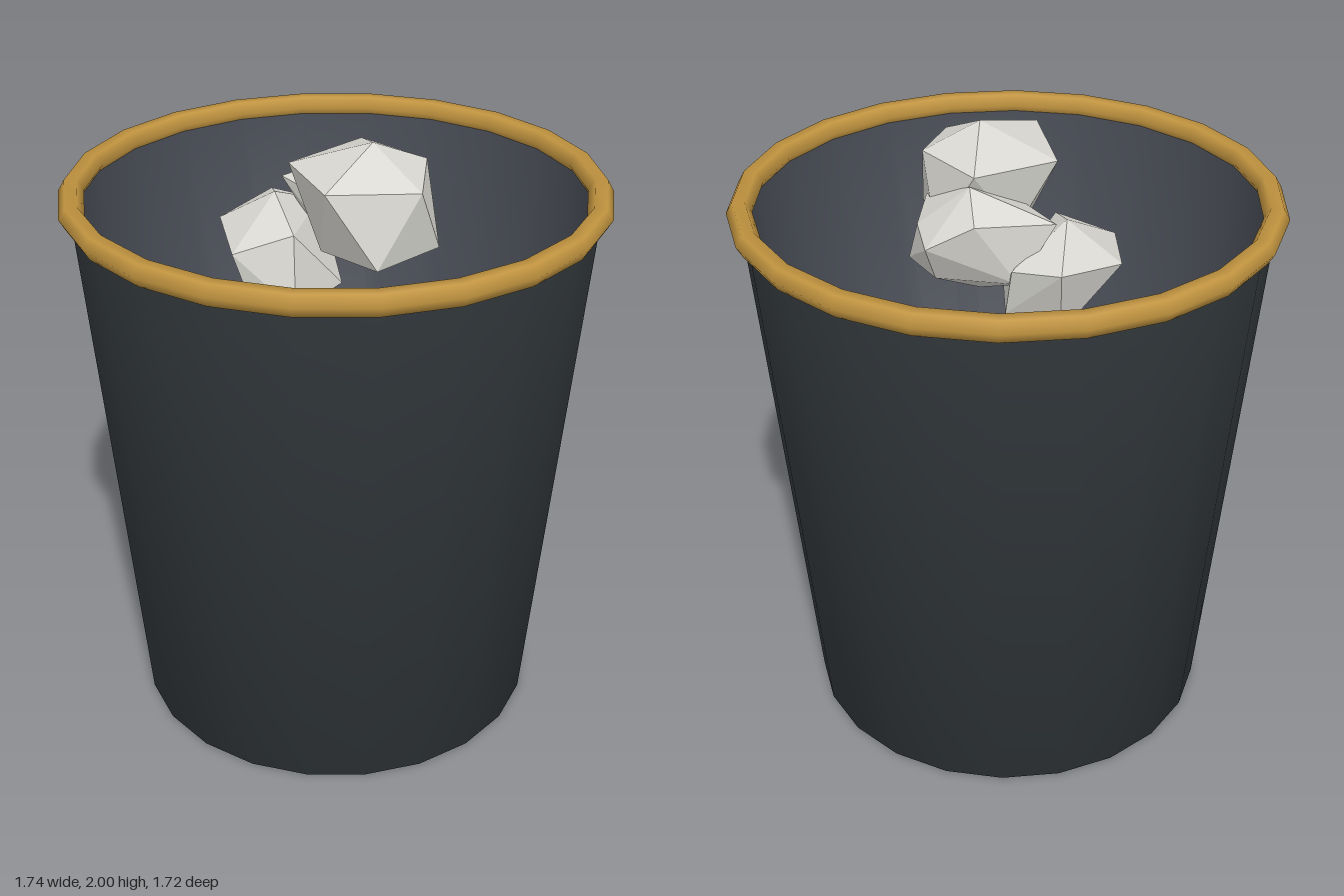
import * as THREE from 'three';
import { ConvexGeometry } from 'three/addons/geometries/ConvexGeometry.js';

const SIDES = 22;

function material(name, color, options = {}) {
  const m = new THREE.MeshStandardMaterial({ color, ...options });
  m.name = name;
  return m;
}

// Surface of revolution with a corner on the x axis
function turned(profile) {
  const points = profile.map(([r, y]) => new THREE.Vector2(r, y));
  return new THREE.LatheGeometry(points, SIDES, Math.PI / 2);
}

// Faceted ball: the upper corners are given, the lower ones are their opposites, a little shrunk
function crumpledBall(center, upper, shrink) {
  const c = new THREE.Vector3(...center);
  const top = upper.map((p) => new THREE.Vector3(...p));
  const bottom = top.map((p) => c.clone().addScaledVector(p.clone().sub(c), -shrink));
  return new ConvexGeometry([...top, ...bottom]);
}

export function createModel() {
  const group = new THREE.Group();
  group.name = 'wasteBin';

  const outside = material('charcoal', 0x33393d);
  const inside = material('slate', 0x484c55);
  const gold = material('gold', 0xc0933f);
  const paper = material('paper', 0xd9d8d2, { flatShading: true });

  const add = (name, geometry, mat) => {
    const mesh = new THREE.Mesh(geometry, mat);
    mesh.name = name;
    group.add(mesh);
    return mesh;
  };

  // Tapered bin: outer shell with base, inner wall with floor
  add('outerShell', turned([[0, 0], [0.67, 0], [0.833, 1.795]]), outside);
  add('innerLining', turned([[0.805, 1.795], [0.645, 0.05], [0, 0.05]]), inside);

  // Rolled rim
  const rim = add('rim', new THREE.TorusGeometry(0.83, 0.04, 6, SIDES), gold);
  rim.rotation.x = Math.PI / 2;
  rim.position.y = 1.795;

  // Crumpled paper balls heaped at the top
  const balls = [
    {
      center: [0.17, 1.79, 0.01], shrink: 0.85,
      upper: [[0.17, 2, 0], [-0.05, 1.92, -0.15], [0.22, 1.92, -0.18],
        [0.39, 1.9, 0], [0.25, 1.92, 0.26], [-0.05, 1.91, 0.15]],
    },
    {
      center: [-0.14, 1.57, 0.1], shrink: 0.9,
      upper: [[-0.17, 1.77, 0.11], [-0.36, 1.69, -0.03], [-0.33, 1.66, 0.21],
        [-0.1, 1.64, 0.34], [0.02, 1.7, 0.19], [-0.22, 1.67, -0.12]],
    },
    {
      center: [-0.02, 1.69, -0.13], shrink: 0.85,
      upper: [[-0.04, 1.89, -0.16], [-0.08, 1.74, -0.34], [0.06, 1.76, -0.29],
        [0.2, 1.78, -0.18], [0, 1.78, 0.05], [-0.22, 1.79, 0.04], [-0.17, 1.82, -0.22]],
    },
  ];
  balls.forEach((b, i) => add(`paperBall${i + 1}`, crumpledBall(b.center, b.upper, b.shrink), paper));

  return group;
}
